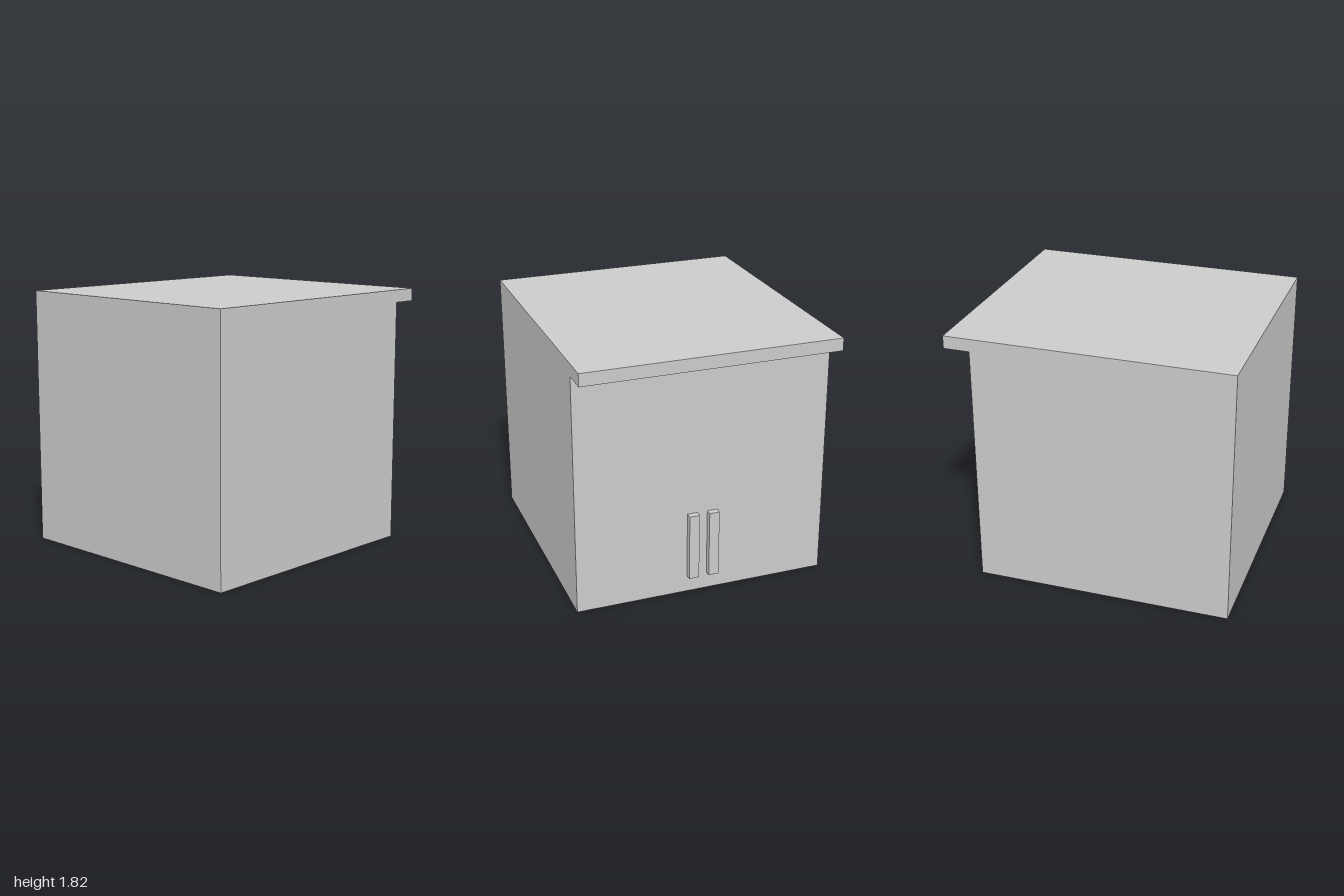
import * as THREE from 'three';

export function createModel() {
  const model = new THREE.Group();
  model.name = 'cabinet';
  const material = new THREE.MeshStandardMaterial({ color: 0xcccccc });

  const height = 1.82, depth = 1.82;
  const faceX = 0.815;      // plane of the door face
  const topUnderside = 1.73;

  // Cabinet body and overhanging top, one profile extruded along z
  const profile = new THREE.Shape([
    [-1, 0], [faceX, 0], [faceX, topUnderside],
    [1, topUnderside], [1, height], [-1, height],
  ].map(([x, y]) => new THREE.Vector2(x, y)));
  const bodyGeometry = new THREE.ExtrudeGeometry(profile, { depth, bevelEnabled: false });
  bodyGeometry.translate(0, 0, -depth / 2);
  const body = new THREE.Mesh(bodyGeometry, material);
  body.name = 'cabinetBodyWithTop';
  model.add(body);

  // Pair of vertical bar handles on the door face
  const handleGeometry = new THREE.BoxGeometry(0.046, 0.485, 0.073);
  for (const side of [-1, 1]) {
    const handle = new THREE.Mesh(handleGeometry, material);
    handle.name = side > 0 ? 'frontHandle' : 'backHandle';
    handle.position.set(faceX + 0.023, 0.365, side * 0.073);
    model.add(handle);
  }

  return model;
}
